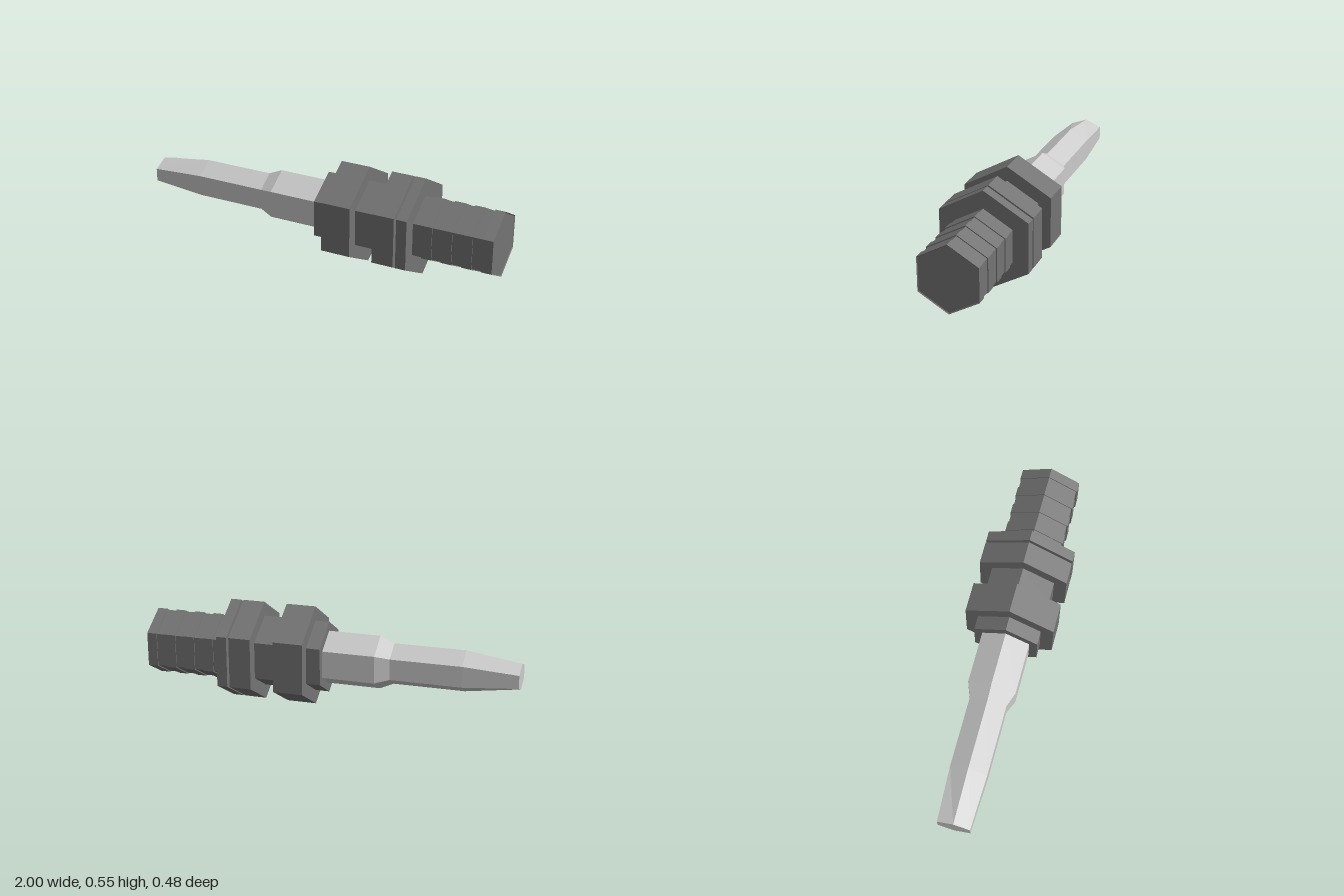
import * as THREE from 'three';

const AXIS_Y = 0.2765;

// Six-sided turned solid along x; profile is [x, radius] from left to right
function hexTurned(name, profile, color) {
  const points = profile.map(([x, r]) => new THREE.Vector2(r, x));
  const geometry = new THREE.LatheGeometry(points, 6, Math.PI / 2).rotateZ(-Math.PI / 2).toNonIndexed();
  geometry.computeVertexNormals();
  const mesh = new THREE.Mesh(geometry, new THREE.MeshStandardMaterial({ color, flatShading: true }));
  mesh.name = name;
  mesh.position.y = AXIS_Y;
  return mesh;
}

// Expands [xStart, xEnd, radius] steps into a stepped profile
const steps = (list) => list.flatMap(([a, b, r]) => [[a, r], [b, r]]);

export function createModel() {
  const group = new THREE.Group();
  const dark = 0x747474;

  // Slim shaft, its tip flattened into a blade
  const shaft = hexTurned('shaft', [
    [-1, 0], [-1, 0.07], [-0.71, 0.113], [-0.33, 0.113], [-0.255, 0.147], [0.03, 0.147], [0.03, 0],
  ], 0xcccccc);
  const pos = shaft.geometry.attributes.position;
  for (let i = 0; i < pos.count; i++) {
    if (pos.getX(i) < -0.99) pos.setZ(i, pos.getZ(i) * 1.43);
  }
  shaft.geometry.computeVertexNormals();
  group.add(shaft);

  // Collar body with wide flanges
  group.add(hexTurned('collar', [
    [0.025, 0],
    ...steps([
      [0.025, 0.1, 0.197], [0.1, 0.26, 0.2745], [0.26, 0.385, 0.197],
      [0.385, 0.503, 0.2745], [0.503, 0.516, 0.197], [0.516, 0.572, 0.2745],
    ]),
    [0.572, 0],
  ], dark));

  // Ribbed grip with a shallow dished end
  const ribs = [];
  const width = (1 - 0.57) / 8;
  for (let i = 0; i < 8; i++) {
    const x = 0.57 + i * width;
    ribs.push([x, x + width, i % 2 ? 0.184 : 0.178]);
  }
  group.add(hexTurned('ribbedGrip', [[0.57, 0], ...steps(ribs), [0.996, 0.178], [0.996, 0]], dark));

  return group;
}
